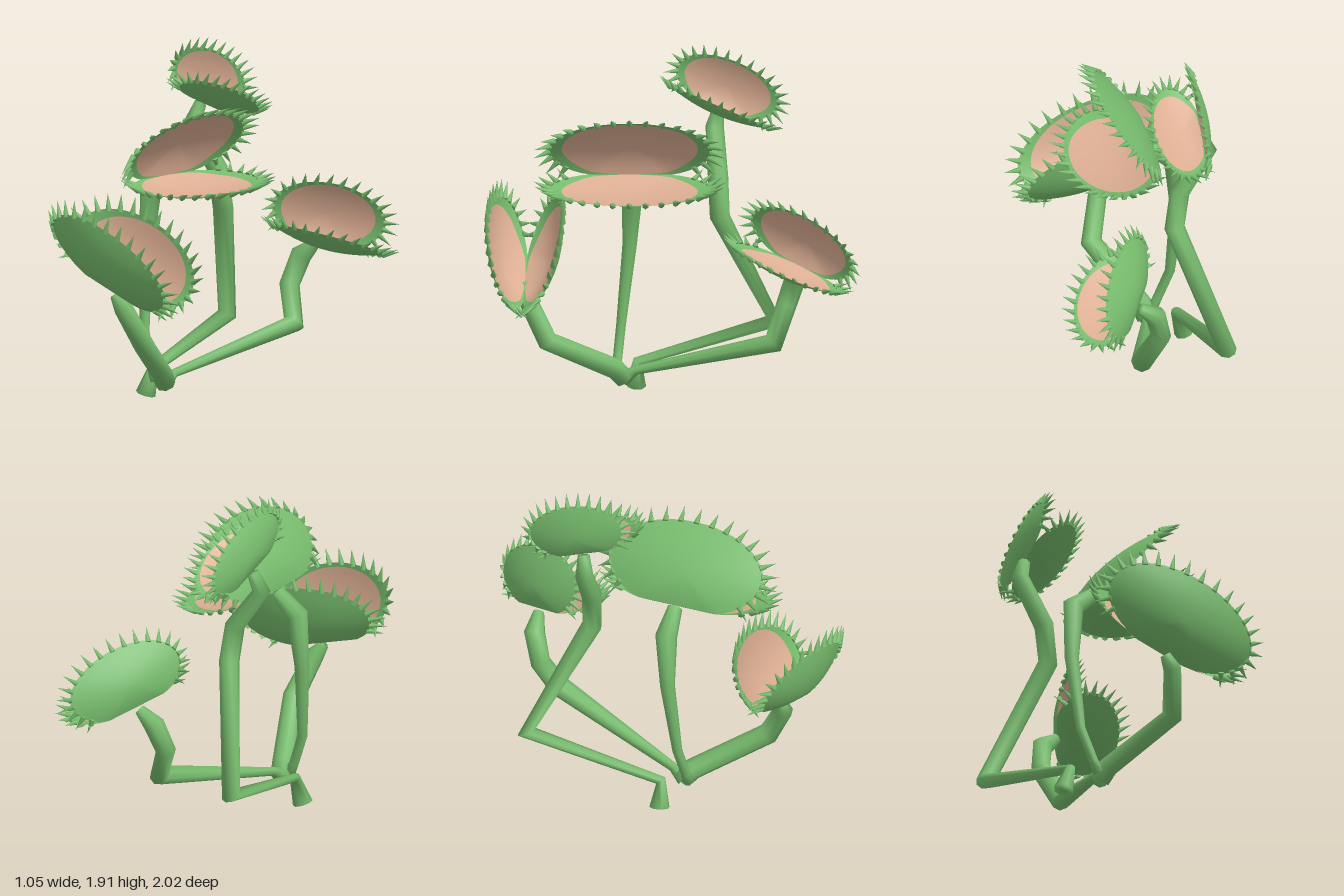
import * as THREE from 'three';

const green = new THREE.MeshStandardMaterial({ color: 0x76ba6c });
green.name = 'leafGreen';
const pink = new THREE.MeshStandardMaterial({ color: 0xdcae93 });
pink.name = 'trapPink';

const V = (a) => new THREE.Vector3(...a);

// Smooth surface from rows of points; each row closes on itself.
function loft(rows, cols, pointAt, flip = false) {
  const pos = [], idx = [];
  for (let i = 0; i < rows; i++)
    for (let j = 0; j < cols; j++) pos.push(...pointAt(i, j));
  for (let i = 0; i < rows - 1; i++)
    for (let j = 0; j < cols; j++) {
      const k = (j + 1) % cols;
      const a = i * cols + j, b = i * cols + k, c = a + cols, d = b + cols;
      if (flip) idx.push(a, b, c, b, d, c);
      else idx.push(a, c, b, b, c, d);
    }
  const g = new THREE.BufferGeometry();
  g.setAttribute('position', new THREE.Float32BufferAttribute(pos, 3));
  g.setIndex(idx);
  g.computeVertexNormals();
  return g;
}

function addMesh(parent, name, geometry, material) {
  const m = new THREE.Mesh(geometry, material);
  m.name = name;
  parent.add(m);
  return m;
}

// Angular stalk through points [x, y, z, radius]
function addStem(parent, name, pts) {
  const P = pts.map((p) => V(p.slice(0, 3)));
  const last = P.length - 1;
  let side = new THREE.Vector3(1, 0, 0.2);
  const frames = P.map((p, i) => {
    const t = new THREE.Vector3();
    if (i > 0) t.add(p.clone().sub(P[i - 1]).normalize());
    if (i < last) t.add(P[i + 1].clone().sub(p).normalize());
    t.normalize();
    side = side.clone().addScaledVector(t, -side.dot(t)).normalize();
    return [side, t.clone().cross(side)];
  });
  const n = 8;
  // the first and last rows close the ends
  const geo = loft(pts.length + 2, n, (i, j) => {
    const k = Math.min(Math.max(i - 1, 0), last);
    const r = i === 0 || i === last + 2 ? 0 : pts[k][3];
    const a = (j / n) * Math.PI * 2;
    return P[k].clone()
      .addScaledVector(frames[k][0], Math.cos(a) * r)
      .addScaledVector(frames[k][1], Math.sin(a) * r).toArray();
  }, true);
  addMesh(parent, name, geo, green);
}

// One bowl-shaped lobe: hinge on local X, width along Y, inside faces +Z
function makeLobe(a, w, depth, spikes) {
  const lobe = new THREE.Group();
  const b = 0.54 * w, c = 0.46 * w, c0 = 0.4 * w, n = 48;
  const outline = (t) => [a * Math.cos(t), Math.max(0, c + b * Math.sin(t))];
  // edge of the pink area: wide green ends, thin green lip, none at the hinge
  const pinkEdge = (t) => {
    const s = Math.sin(t);
    return 0.83 + (s < 0 ? 0.17 * s ** 4 : 0.09 * s * s);
  };
  const centre = () => 0, edge = () => 1;
  const bowl = (from, to, rows, d, flip) => loft(rows, n, (i, j) => {
    const t = (j / n) * Math.PI * 2;
    const r = from(t) + (to(t) - from(t)) * (i / (rows - 1));
    const [x, y] = outline(t);
    return [x * r, c0 + (y - c0) * r, -d * (1 - r * r)];
  }, flip);
  addMesh(lobe, 'lobeOuter', bowl(centre, edge, 9, depth, true), green);
  addMesh(lobe, 'lobeInner', bowl(centre, pinkEdge, 8, depth * 0.8, false), pink);
  addMesh(lobe, 'lobeRim', bowl(pinkEdge, edge, 3, depth * 0.8, false), green);

  // spikes around the free edge, leaning inward
  const len = 0.06 + 0.085 * a;
  const cone = new THREE.ConeGeometry(len * 0.18, len, 6);
  cone.translate(0, len * 0.38, 0);
  const up = new THREE.Vector3(0, 1, 0);
  for (let i = 0; i < spikes; i++) {
    const t = THREE.MathUtils.degToRad(-38 + (256 * i) / (spikes - 1));
    const out = new THREE.Vector3(Math.cos(t) / a, Math.sin(t) / b, 0).normalize();
    out.z = 0.45;
    const s = addMesh(lobe, 'spike', cone, green);
    const [x, y] = outline(t);
    s.position.set(x, y, 0);
    s.quaternion.setFromUnitVectors(up, out.normalize());
  }
  return lobe;
}

// Two lobes opened by +-half degrees around the hinge
function makeTrap({ name, at, hinge, middle, half, a, w, depth, spikes }) {
  const trap = new THREE.Group();
  trap.name = name;
  const h = V(hinge).normalize();
  const m = V(middle);
  m.addScaledVector(h, -m.dot(h)).normalize();
  const n = h.clone().cross(m);
  const co = Math.cos(THREE.MathUtils.degToRad(half));
  const si = Math.sin(THREE.MathUtils.degToRad(half));
  for (const s of [1, -1]) {
    const y = m.clone().multiplyScalar(co).addScaledVector(n, s * si);
    const z = m.clone().multiplyScalar(si).addScaledVector(n, -s * co);
    const lobe = makeLobe(a, w, depth, spikes);
    lobe.name = s > 0 ? 'firstLobe' : 'secondLobe';
    lobe.quaternion.setFromRotationMatrix(
      new THREE.Matrix4().makeBasis(h.clone().multiplyScalar(-s), y, z));
    trap.add(lobe);
  }
  trap.position.set(...at);
  return trap;
}

export function createModel() {
  const model = new THREE.Group();
  model.name = 'flytrapPlant';

  // Snapping traps
  const traps = [
    { name: 'frontTrap', at: [-0.1, 0.67, 0.79], hinge: [0.93, -0.35, 0.04],
      middle: [0.35, 0.93, 0], half: 28, a: 0.44, w: 0.43, depth: 0.085, spikes: 23 },
    { name: 'middleTrap', at: [-0.19, 1.225, 0.23], hinge: [0, 0, 1],
      middle: [0.93, 0.366, 0], half: 29, a: 0.44, w: 0.46, depth: 0.06, spikes: 23 },
    { name: 'backTrap', at: [0.09, 0.795, -0.68], hinge: [0.47, -0.3, -0.83],
      middle: [0.76, 0.61, 0.21], half: 31, a: 0.33, w: 0.34, depth: 0.055, spikes: 21 },
    { name: 'topTrap', at: [-0.36, 1.555, -0.24], hinge: [0.05, -0.39, -0.92],
      middle: [0.66, 0.69, -0.29], half: 34, a: 0.295, w: 0.28, depth: 0.045, spikes: 21 },
  ];
  traps.forEach((t) => model.add(makeTrap(t)));

  // Jointed stems
  addStem(model, 'frontStem', [
    [-0.18, 0.1, 0.26, 0.055], [-0.16, 0.16, 0.31, 0.058], [0.03, 0.36, 0.67, 0.058],
    [-0.03, 0.58, 0.78, 0.052], [-0.08, 0.65, 0.79, 0.03]]);
  addStem(model, 'middleStem', [
    [-0.21, 0.12, 0.3, 0.034], [-0.24, 0.18, 0.3, 0.026], [-0.31, 0.37, 0.28, 0.027],
    [-0.34, 0.8, 0.235, 0.04], [-0.32, 1.11, 0.22, 0.06], [-0.19, 1.21, 0.22, 0.04]]);
  addStem(model, 'backStem', [
    [-0.18, 0.1, 0.27, 0.045], [-0.17, 0.15, 0.2, 0.025], [0.04, 0.355, -0.54, 0.058],
    [-0.05, 0.55, -0.61, 0.055], [-0.01, 0.71, -0.66, 0.058], [0.08, 0.78, -0.67, 0.03]]);
  addStem(model, 'topStem', [
    [-0.37, 0.02, 0.2, 0.055], [-0.325, 0.16, 0.19, 0.03], [-0.43, 0.36, -0.54, 0.052],
    [-0.21, 0.99, -0.25, 0.055], [-0.24, 1.2, -0.24, 0.055], [-0.4, 1.44, -0.22, 0.05],
    [-0.36, 1.545, -0.24, 0.033]]);
  return model;
}
